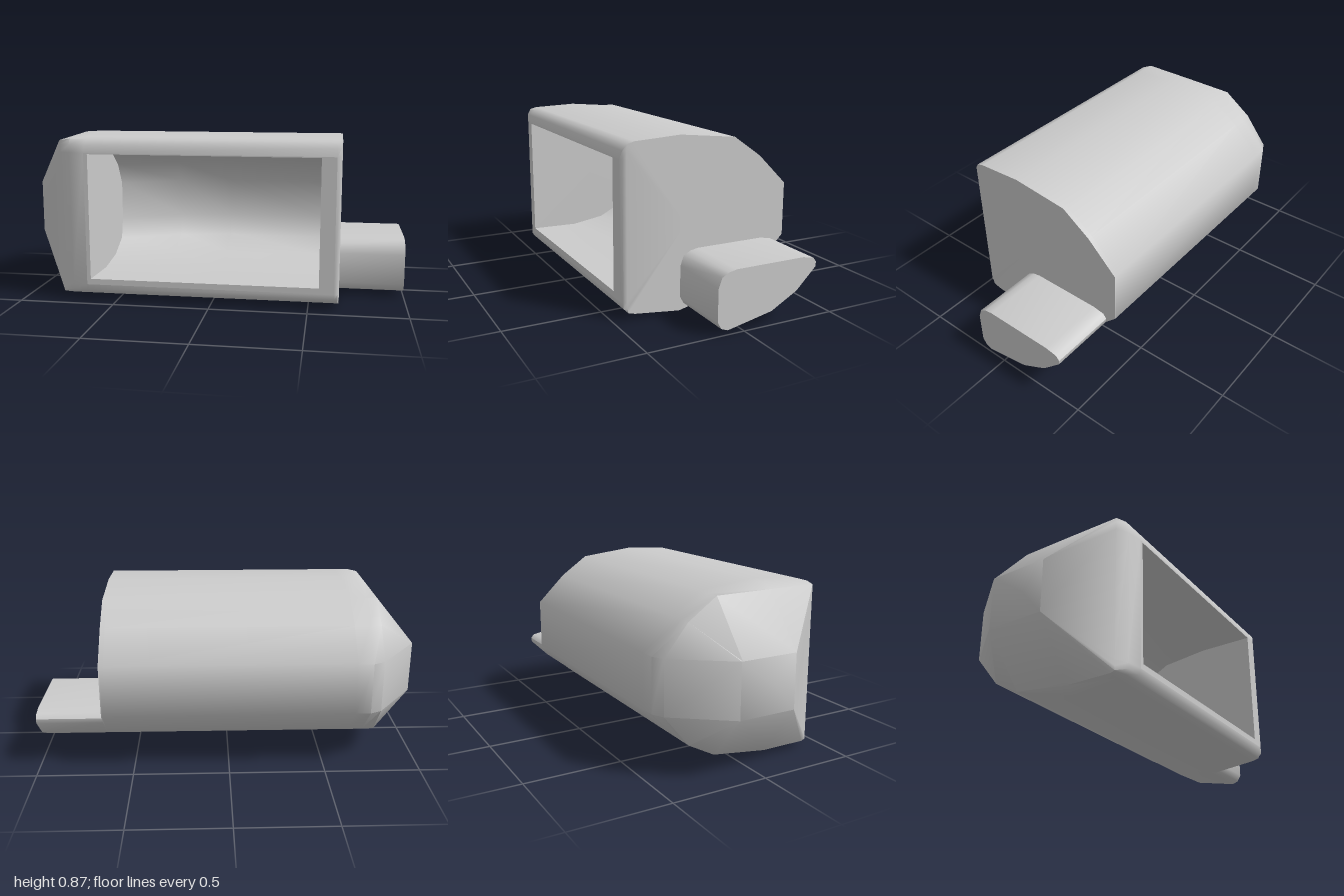
import * as THREE from 'three';
import { toCreasedNormals } from 'three/addons/utils/BufferGeometryUtils.js';

const grey = new THREE.MeshStandardMaterial({ color: 0xcccccc, side: THREE.DoubleSide });

// Skin over cross-sections ordered by rising x, capped at both ends.
// openFront(i) tells whether segment i leaves out its closing front strip.
function loft(name, sections, openFront = () => false, inward = false, crease = 0.8) {
  const pos = [];
  const tri = (a, b, c) => pos.push(...a, ...(inward ? [...c, ...b] : [...b, ...c]));
  const n = sections[0].length;
  for (let i = 0; i < sections.length - 1; i++) {
    const [s, t] = [sections[i], sections[i + 1]];
    for (let j = 0; j < (openFront(i) ? n - 1 : n); j++) {
      const k = (j + 1) % n;
      tri(s[j], s[k], t[j]);
      tri(s[k], t[k], t[j]);
    }
  }
  const cap = (s, flip) => {
    const c = [0, 1, 2].map((a) => s.reduce((sum, p) => sum + p[a], 0) / n);
    s.forEach((p, j) => {
      const q = s[(j + 1) % n];
      flip ? tri(c, q, p) : tri(c, p, q);
    });
  };
  cap(sections[0], true);
  cap(sections[sections.length - 1], false);
  const geo = new THREE.BufferGeometry();
  geo.setAttribute('position', new THREE.Float32BufferAttribute(pos, 3));
  const mesh = new THREE.Mesh(toCreasedNormals(geo, crease), grey);
  mesh.name = name;
  return mesh;
}

export function createModel() {
  const group = new THREE.Group();
  group.name = 'hollowHousing';
  const clamp = THREE.MathUtils.clamp;

  // Housing: [z, y] profile from the front bottom round the back to the front top
  const profile = [
    [0.455, 0.09], [0.447, 0.06], [0.425, 0.038], [0.39, 0.028], [0.15, 0], [-0.15, 0.07],
    [-0.29, 0.145], [-0.455, 0.31], [-0.455, 0.583], [-0.3, 0.735], [-0.15, 0.84],
    [0.15, 0.873], [0.39, 0.86], [0.425, 0.85], [0.447, 0.82], [0.455, 0.78],
  ];
  // Stations: x, then the limits zMin, zMax, yMin, yMax that trim the profile
  const stations = [
    [-1, -0.155, 0.15, 0.31, 0.585],
    [-0.79, -0.425, 0.41, 0.03, 0.842],
    [-0.73, -0.455, 0.442, 0.004, 0.868],
    [-0.65, -0.455, 0.455, 0, 0.873],
    [0.63, -0.455, 0.455, 0, 0.873],
    [0.648, -0.455, 0.447, 0, 0.873],
    [0.655, -0.455, 0.43, 0, 0.873],
  ];
  const sections = stations.map(([x, z0, z1, y0, y1]) =>
    profile.map(([z, y]) => [x, clamp(y, y0, y1), clamp(z, z0, z1)]));
  group.add(loft('housing', sections, (i) => i === 3));

  // Flat frame round the front opening
  const rect = (Type, x0, x1, y0, y1) => new Type([
    new THREE.Vector2(x0, y0), new THREE.Vector2(x1, y0),
    new THREE.Vector2(x1, y1), new THREE.Vector2(x0, y1),
  ]);
  const frameShape = rect(THREE.Shape, -0.65, 0.63, 0.09, 0.78);
  frameShape.holes.push(rect(THREE.Path, -0.63, 0.555, 0.12, 0.775));
  const frame = new THREE.Mesh(new THREE.ShapeGeometry(frameShape), grey);
  frame.position.z = 0.455;
  frame.name = 'frontFrame';
  group.add(frame);

  // Cavity behind the opening, shallower towards the tapered end
  const hollow = [
    [0.455, 0.12], [0.1, 0.115], [-0.15, 0.145], [-0.33, 0.215], [-0.37, 0.33],
    [-0.37, 0.54], [-0.27, 0.66], [-0.12, 0.74], [0.15, 0.772], [0.455, 0.775],
  ];
  const cavity = [[-0.63, 0.74], [-0.3, 0.93], [0, 1], [0.555, 1]].map(([x, depth]) =>
    hollow.map(([z, y]) => [x, y, 0.455 - (0.455 - z) * depth]));
  group.add(loft('cavity', cavity, () => true, true, 1));

  // Side arm low on the flat end
  const armProfile = [
    [0.145, 0.07], [0.125, 0.035], [0.09, 0.022], [-0.15, 0.07], [-0.29, 0.147], [-0.395, 0.25],
    [-0.398, 0.275], [-0.38, 0.297], [-0.32, 0.308], [0.05, 0.308], [0.09, 0.3],
    [0.127, 0.28], [0.145, 0.23],
  ];
  group.add(loft('sideArm', [0.64, 1].map((x) => armProfile.map(([z, y]) => [x, y, z]))));

  return group;
}
